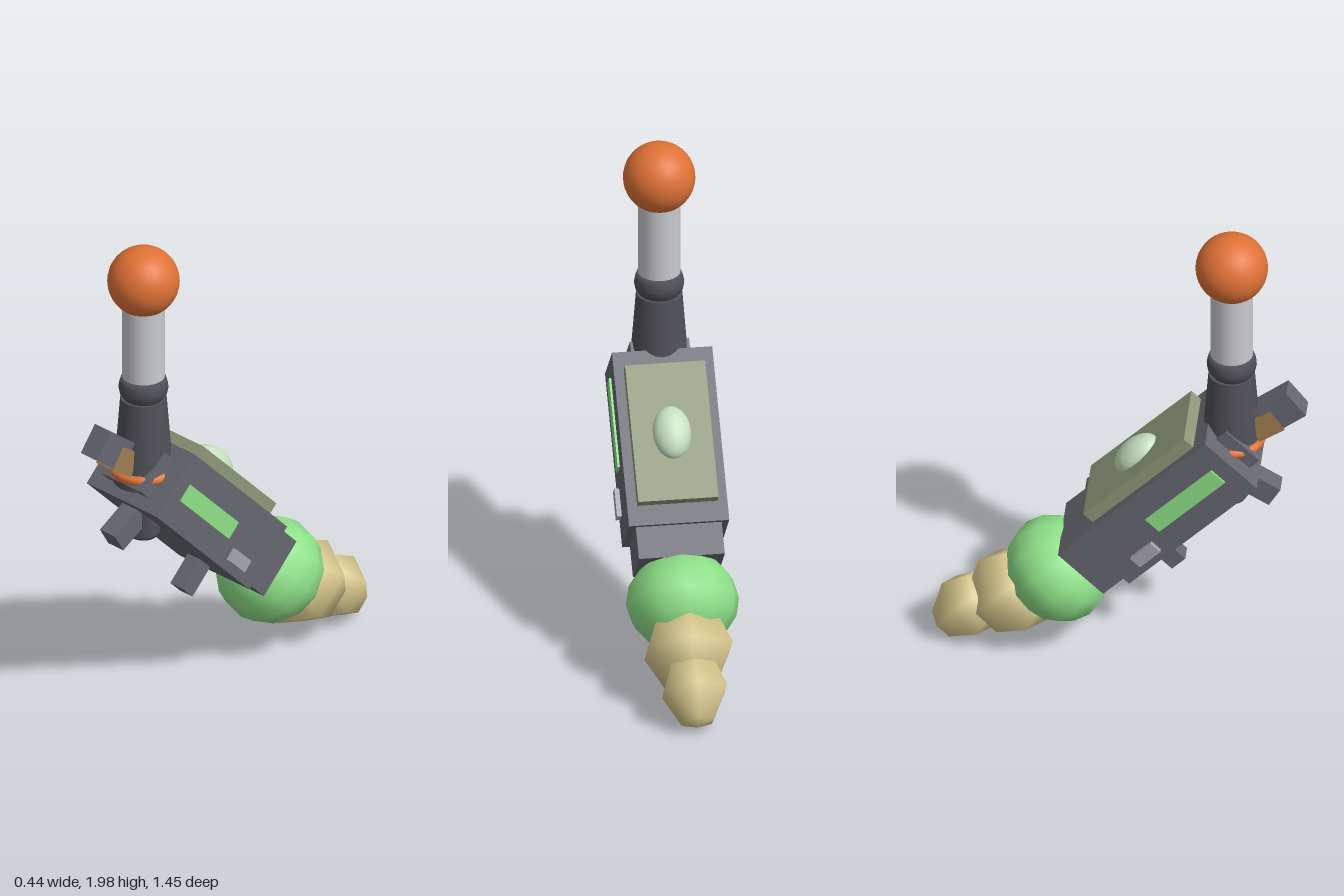
import * as THREE from 'three';

const mat = (name, color) => {
  const m = new THREE.MeshStandardMaterial({ color });
  m.name = name;
  return m;
};

export function createModel() {
  const model = new THREE.Group();
  model.name = 'model';
  const grey = mat('casing grey', 0x666770);
  const dark = mat('dark grey', 0x505158);
  const silver = mat('silver', 0xc9cacd);
  const orange = mat('orange', 0xe07236);
  const green = mat('green', 0x8ee088);
  const olive = mat('olive', 0x8c9877);
  const pale = mat('pale green', 0xc6dfc0);
  const tan = mat('tan', 0xdac98e);
  const brown = mat('brown', 0xa07c52);
  const slotGrey = mat('light grey', 0xa4a5ac);

  const add = (parent, name, geometry, material, x = 0, y = 0, z = 0, rx = 0) => {
    const mesh = new THREE.Mesh(geometry, material);
    mesh.name = name;
    mesh.position.set(x, y, z);
    mesh.rotation.x = rx;
    parent.add(mesh);
    return mesh;
  };
  const box = (w, h, d) => new THREE.BoxGeometry(w, h, d);
  const lathe = (pts, sides) =>
    new THREE.LatheGeometry(pts.map(([r, y]) => new THREE.Vector2(r, y)), sides);

  // Casing leaning forward by 45 degrees; its own y runs along the length
  const body = new THREE.Group();
  body.name = 'body';
  body.position.set(0, 0.8, 0.198);
  body.rotation.x = Math.PI / 4;
  model.add(body);
  add(body, 'casing', box(0.39, 0.7, 0.284), grey);
  add(body, 'lowerCasing', box(0.334, 0.14, 0.247), grey, 0, -0.408, 0);
  add(body, 'topPlate', box(0.23, 0.06, 0.18), grey, 0, 0.375, 0);
  add(body, 'backPanel', box(0.312, 0.55, 0.06), olive, 0, 0.005, -0.164);
  add(body, 'backGem', new THREE.SphereGeometry(1, 24, 16), pale, 0, 0, -0.19).scale.set(0.075, 0.106, 0.062);
  add(body, 'lowerPeg', box(0.07, 0.073, 0.15), grey, 0, -0.233, 0.2);
  for (const [side, s] of [['left', 1], ['right', -1]]) {
    add(body, side + 'Stripe', box(0.009, 0.36, 0.075), green, s * 0.199, 0.1, 0);
    add(body, side + 'Slot', box(0.03, 0.112, 0.052), slotGrey, s * 0.199, -0.195, 0.079);
  }

  // Angled front fittings
  add(model, 'upperPeg', box(0.084, 0.088, 0.2), grey, 0, 0.844, 0.514, 0.54);
  add(model, 'frontArm', box(0.094, 0.114, 0.1), brown, 0, 1.135, 0.563, 0.98);
  add(model, 'frontBlock', box(0.09, 0.16, 0.125), grey, 0, 1.2, 0.62, 0.92);

  // Upright stick with ball top
  const stick = new THREE.Group();
  stick.name = 'stick';
  stick.position.z = 0.43;
  model.add(stick);
  add(stick, 'neck', new THREE.CylinderGeometry(0.09, 0.118, 0.36, 24), dark, 0, 1.175, 0);
  add(stick, 'neckFoot', lathe([[0, 0.755], [0.052, 0.755], [0.065, 0.775], [0.065, 1.05]], 20), dark);
  const collar = add(stick, 'collarRing', new THREE.TorusGeometry(0.112, 0.02, 8, 28), orange, 0, 1.045, 0);
  collar.rotation.x = Math.PI / 2;
  add(stick, 'joint', lathe([[0.075, 1.35], [0.092, 1.375], [0.097, 1.4], [0.093, 1.425], [0.085, 1.447], [0, 1.447]], 24), dark);
  add(stick, 'shaft', new THREE.CylinderGeometry(0.083, 0.083, 0.36, 24), silver, 0, 1.6, 0);
  add(stick, 'ball', new THREE.SphereGeometry(0.14, 32, 20), orange, 0, 1.86, 0);

  // Rounded tail of three overlapping, few-sided lumps
  const tail = new THREE.Group();
  tail.name = 'tail';
  model.add(tail);
  add(tail, 'tailBulb', new THREE.SphereGeometry(0.22, 12, 8), green, 0, 0.36, -0.243, Math.PI / 4)
    .scale.set(1, 0.87, 0.98);
  add(tail, 'tailMiddle', lathe([[0, -0.15], [0.115, -0.13], [0.188, 0], [0.14, 0.11], [0, 0.16]], 6),
    tan, 0, 0.24, -0.42, Math.PI / 4);
  add(tail, 'tailTip', lathe([[0, -0.145], [0.068, -0.125], [0.138, 0], [0.1, 0.1], [0, 0.14]], 6),
    tan, 0, 0.155, -0.595, Math.PI / 4);
  return model;
}
